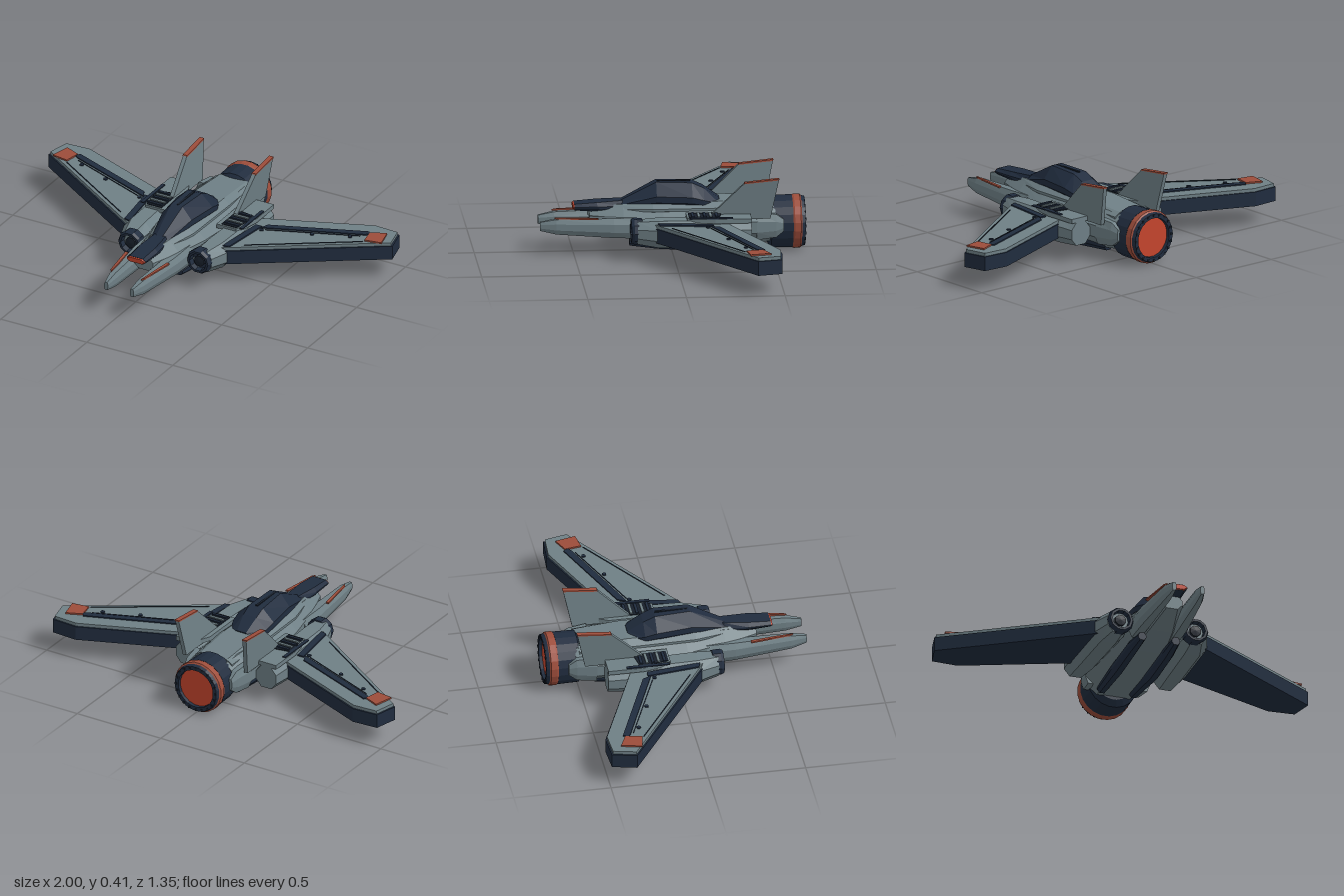
import * as THREE from 'three';

const mat = (name, color) => {
  const m = new THREE.MeshStandardMaterial({ color });
  m.name = name;
  return m;
};

// Octagonal hull through sections [z, centreX, halfWidth, bottomY, topY];
// flat = width of the top and bottom facets, side = height of the side facets
function loft(sections, flat = 0.5, side = 0.4) {
  const unit = [[1, -side], [1, side], [flat, 1], [-flat, 1], [-1, side], [-1, -side], [-flat, -1], [flat, -1]];
  const rings = sections.map(([z, cx, w, y0, y1]) =>
    unit.map(([u, v]) => [cx + u * w, (y0 + y1) / 2 + (v * (y1 - y0)) / 2, z]));
  const p = [];
  const tri = (...pts) => pts.forEach((q) => p.push(...q));
  for (let i = 0; i < rings.length - 1; i++) {
    for (let j = 0; j < 8; j++) {
      const k = (j + 1) % 8;
      const a = rings[i][j], b = rings[i][k], c = rings[i + 1][j], d = rings[i + 1][k];
      tri(a, c, b);
      tri(b, c, d);
    }
  }
  const first = rings[0], last = rings[rings.length - 1];
  for (let j = 1; j < 7; j++) {
    tri(first[0], first[j], first[j + 1]);
    tri(last[0], last[j + 1], last[j]);
  }
  const g = new THREE.BufferGeometry();
  g.setAttribute('position', new THREE.Float32BufferAttribute(p, 3));
  g.computeVertexNormals();
  return g;
}

const shapeOf = (pts) => new THREE.Shape(pts.map(([a, b]) => new THREE.Vector2(a, b)));

// Horizontal plate with an outline of [x, z] points
function plate(pts, y0, y1) {
  const g = new THREE.ExtrudeGeometry(shapeOf(pts.map(([x, z]) => [x, -z])), { depth: y1 - y0, bevelEnabled: false });
  return g.rotateX(-Math.PI / 2).translate(0, y0, 0);
}

// Upright plate with an outline of [z, y] points, leaning outward
function upright(pts, x, thickness) {
  const g = new THREE.ExtrudeGeometry(shapeOf(pts), { depth: thickness, bevelEnabled: false });
  g.rotateY(-Math.PI / 2).translate(x + thickness / 2, 0, 0);
  const p = g.attributes.position;
  for (let i = 0; i < p.count; i++) p.setX(i, p.getX(i) + (p.getY(i) - 0.2) * 0.09);
  g.computeVertexNormals();
  return g;
}

const box = (w, h, d, x, y, z) => new THREE.BoxGeometry(w, h, d).translate(x, y, z);

// Revolved part along z; profile points are [radius, z]
function turned(profile, x, y, sides) {
  const g = new THREE.LatheGeometry(profile.map(([r, z]) => new THREE.Vector2(r, z)), sides);
  const flat = g.rotateX(Math.PI / 2).rotateZ(Math.PI / sides).translate(x, y, 0).toNonIndexed();
  flat.computeVertexNormals();
  return flat;
}

// Copy reflected in x with its corners reordered
function mirrored(geo) {
  const g = geo.index ? geo.toNonIndexed() : geo.clone();
  const p = g.attributes.position, v = new THREE.Vector3(), w = new THREE.Vector3();
  for (let i = 0; i < p.count; i += 3) {
    p.setX(i, -p.getX(i));
    v.fromBufferAttribute(p, i + 1);
    w.fromBufferAttribute(p, i + 2);
    p.setXYZ(i + 1, -w.x, w.y, w.z);
    p.setXYZ(i + 2, -v.x, v.y, v.z);
  }
  g.computeVertexNormals();
  return g;
}

export function createModel() {
  const model = new THREE.Group();
  model.name = 'starfighter';
  const grey = mat('hull grey', 0x6e7f85);
  const navy = mat('dark navy', 0x202c3e);
  const black = mat('vent black', 0x18202b);
  const rust = mat('rust red', 0x9c4c3a);
  const glow = mat('glow red', 0xc4452d);

  const add = (name, geo, m) => {
    const mesh = new THREE.Mesh(geo, m);
    mesh.name = name;
    model.add(mesh);
  };
  const pair = (name, geo, m) => {
    add(name + 'Left', geo, m);
    add(name + 'Right', mirrored(geo), m);
  };

  // Fuselage
  add('fuselage', loft([
    [0.42, 0, 0.055, 0.15, 0.225], [0.25, 0, 0.11, 0.1, 0.245], [0.05, 0, 0.15, 0.07, 0.25],
    [-0.25, 0, 0.175, 0.05, 0.25], [-0.42, 0, 0.175, 0.05, 0.25], [-0.52, 0, 0.15, 0.06, 0.24],
  ], 0.55, 0.3), grey);
  add('fuselageSpine', loft([
    [0.3, 0, 0.06, 0.2, 0.25], [0.1, 0, 0.11, 0.2, 0.262], [-0.25, 0, 0.12, 0.2, 0.268], [-0.5, 0, 0.11, 0.2, 0.25],
  ], 0.7, 0.2), grey);
  pair('rearCheek', loft([[-0.42, 0.14, 0.035, 0.08, 0.22], [-0.52, 0.135, 0.025, 0.09, 0.21], [-0.56, 0.135, 0.012, 0.12, 0.18]]), grey);

  // Canopy and cockpit nose
  add('canopy', loft([
    [0.27, 0, 0.045, 0.22, 0.262], [0.08, 0, 0.085, 0.2, 0.36], [-0.1, 0, 0.105, 0.2, 0.355], [-0.16, 0, 0.1, 0.2, 0.327],
    [-0.24, 0, 0.07, 0.22, 0.272],
  ], 0.38, 0.2), navy);
  add('canopyRidge', box(0.012, 0.006, 0.17, 0, 0.358, -0.01), black);
  add('cockpitNose', loft([[0.495, 0, 0.055, 0.222, 0.254], [0.38, 0, 0.06, 0.215, 0.262], [0.25, 0, 0.045, 0.2, 0.268]], 0.7, 0.2), navy);
  add('noseLight', loft([[0.502, 0, 0.05, 0.226, 0.25], [0.494, 0, 0.054, 0.223, 0.253]], 0.7, 0.2), glow);

  // Forked nose prongs
  pair('noseProng', loft([
    [0.672, 0.075, 0.011, 0.13, 0.174], [0.59, 0.082, 0.024, 0.113, 0.19],
    [0.3, 0.097, 0.037, 0.095, 0.197], [0.15, 0.1, 0.037, 0.09, 0.2],
  ], 0.6, 0.4), grey);
  pair('prongStripe', plate([[0.088, 0.6], [0.1, 0.58], [0.129, 0.38], [0.112, 0.38], [0.097, 0.5]], 0.192, 0.2), rust);

  // Side nacelles with round intakes
  pair('nacelle', loft([
    [0.19, 0.21, 0.055, 0.09, 0.205], [0.08, 0.225, 0.08, 0.075, 0.215],
    [-0.25, 0.235, 0.075, 0.075, 0.215], [-0.385, 0.24, 0.06, 0.085, 0.205],
  ], 0.5, 0.4), grey);
  pair('intakeRing', turned([
    [0.05, 0.16], [0.066, 0.165], [0.068, 0.205], [0.06, 0.22], [0.048, 0.22], [0.044, 0.19], [0, 0.19],
  ], 0.2, 0.15, 10), navy);
  pair('intakeCore', turned([[0.03, 0.185], [0.03, 0.205], [0, 0.21]], 0.2, 0.15, 8), black);

  // Deck panels and vent slats over the nacelles
  pair('deckPanel', plate([[0.15, -0.06], [0.265, -0.06], [0.3, -0.2], [0.3, -0.385], [0.19, -0.385], [0.15, -0.3]], 0.205, 0.228), grey);
  pair('ventBase', plate([[0.175, -0.07], [0.26, -0.07], [0.285, -0.22], [0.175, -0.24]], 0.226, 0.232), black);
  for (let i = 0; i < 5; i++) {
    pair('ventSlat' + (i + 1), box(0.085, 0.008, 0.014, 0.225, 0.234, -0.09 - i * 0.03), i % 2 ? grey : navy);
  }
  pair('ventStrip', box(0.018, 0.006, 0.22, 0.288, 0.231, -0.18), navy);

  // Wings
  pair('wing', plate([[0.22, 0.146], [0.3, 0.094], [1, -0.365], [0.97, -0.49], [0.83, -0.498], [0.22, -0.25]], 0.108, 0.182), navy);
  pair('wingTop', plate([[0.24, 0.125], [0.3, 0.086], [0.99, -0.367], [0.963, -0.483], [0.83, -0.49], [0.24, -0.252]], 0.182, 0.199), grey);
  pair('flapStripe', plate([[0.34, -0.175], [0.36, -0.22], [0.84, -0.41], [0.855, -0.385], [0.835, -0.37]], 0.199, 0.205), navy);
  pair('rootStripe', plate([[0.305, 0.08], [0.34, -0.19], [0.305, -0.19], [0.27, 0.09]].reverse(), 0.199, 0.206), navy);
  pair('leadingLine', plate([[0.36, 0.025], [0.86, -0.303], [0.86, -0.309], [0.36, 0.019]], 0.199, 0.202), black);
  pair('panelLine', plate([[0.37, -0.17], [0.82, -0.35], [0.82, -0.355], [0.37, -0.175]], 0.199, 0.202), black);
  pair('wingTipPanel', plate([[0.865, -0.315], [0.955, -0.33], [0.93, -0.435], [0.85, -0.4]], 0.199, 0.207), rust);
  for (const [i, [x, z]] of [[0.355, -0.16], [0.6, -0.245], [0.78, -0.318]].entries()) {
    pair('wingBolt' + (i + 1), new THREE.CylinderGeometry(0.011, 0.011, 0.006, 8).translate(x, 0.202, z), navy);
  }

  // Tail fins with painted top edges
  pair('tailFin', upright([[-0.18, 0.22], [-0.355, 0.39], [-0.53, 0.408], [-0.487, 0.2], [-0.2, 0.2]], 0.183, 0.022), grey);
  pair('finCap', upright([[-0.352, 0.386], [-0.355, 0.393], [-0.531, 0.411], [-0.53, 0.403]], 0.183, 0.026), rust);

  // Belly rails
  pair('bellyRail', loft([
    [0.22, 0.09, 0.022, 0.05, 0.09], [0.08, 0.095, 0.03, 0.033, 0.1],
    [-0.14, 0.095, 0.032, 0.018, 0.09], [-0.42, 0.085, 0.025, 0.035, 0.08],
  ], 0.5, 0.3), navy);

  // Main engine
  const Y = 0.138;
  add('engineHousing', turned([[0.115, -0.61], [0.135, -0.61], [0.133, -0.5], [0.1, -0.48], [0, -0.48]], 0, Y, 20), navy);
  add('engineBand', turned([[0.13, -0.655], [0.138, -0.648], [0.138, -0.618], [0.133, -0.608]], 0, Y, 20), rust);
  add('engineRim', turned([[0.1, -0.64], [0.104, -0.672], [0.125, -0.672], [0.131, -0.654]], 0, Y, 20), navy);
  add('engineGlow', turned([[0, -0.655], [0.106, -0.655]], 0, Y, 20), glow);
  for (let i = 0; i < 20; i++) {
    const a = (i / 20) * Math.PI * 2;
    add('rimStud' + (i + 1), box(0.012, 0.012, 0.008, Math.cos(a) * 0.118, Y + Math.sin(a) * 0.118, -0.671), black);
  }
  return model;
}
